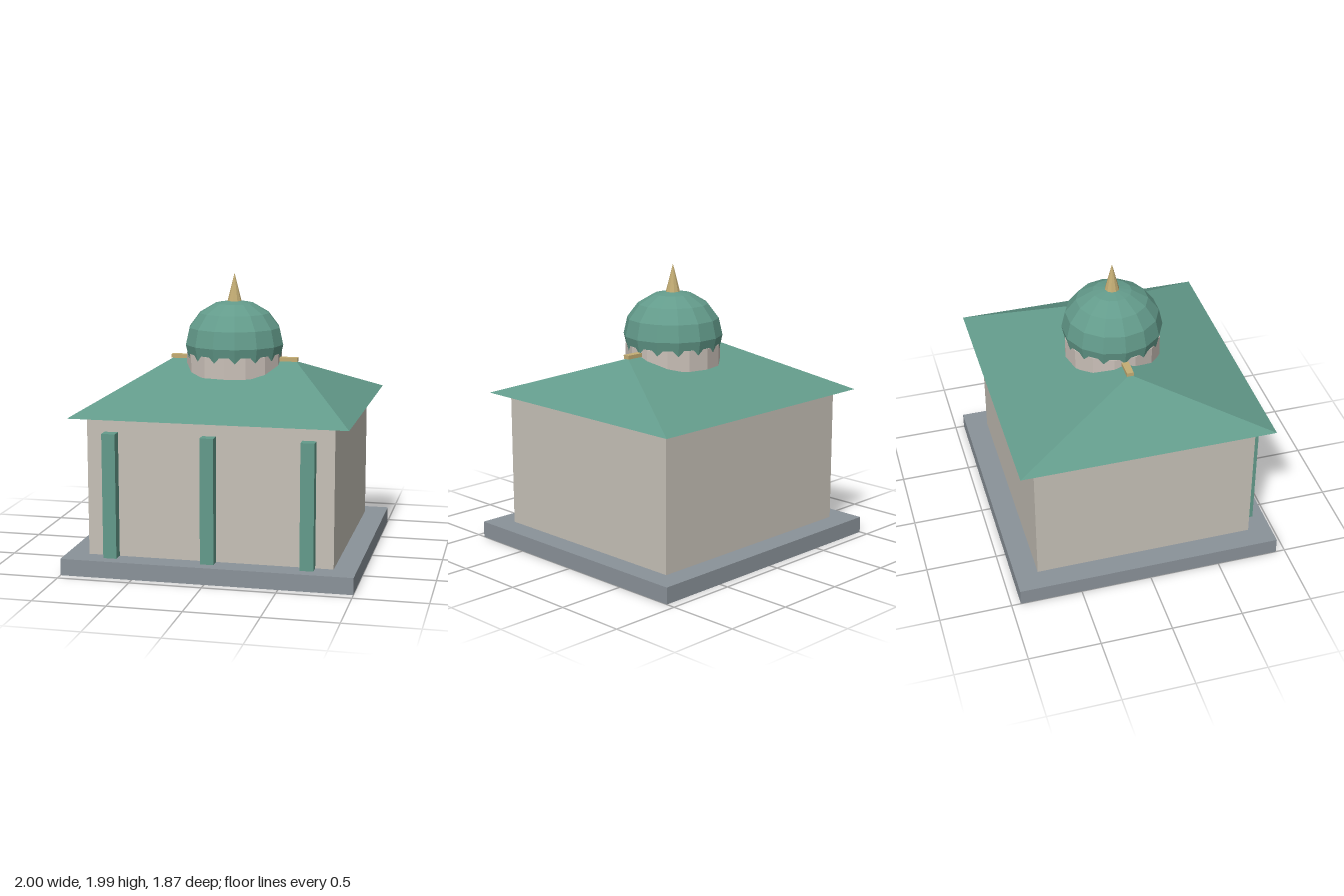
import * as THREE from 'three';

const mat = (name, color) => {
  const m = new THREE.MeshStandardMaterial({ color, flatShading: true });
  m.name = name;
  return m;
};

// Hipped roof: rectangular eaves rising to a ridge along x
function hipRoof(hx, hz, ridge, y0, y1) {
  const a = [-hx, y0, hz], b = [hx, y0, hz], c = [hx, y0, -hz], d = [-hx, y0, -hz];
  const l = [-ridge, y1, 0], r = [ridge, y1, 0];
  const faces = [a, b, r, a, r, l, c, d, l, c, l, r, b, c, r, d, a, l, a, d, c, a, c, b];
  const geo = new THREE.BufferGeometry();
  geo.setAttribute('position', new THREE.Float32BufferAttribute(faces.flat(), 3));
  geo.computeVertexNormals();
  return geo;
}

export function createModel() {
  const stone = mat('grey stone', 0x8a9299);
  const plaster = mat('pale plaster', 0xc6c1b7);
  const drumStone = mat('drum stone', 0xcac0b8);
  const green = mat('green copper', 0x639b8b);
  const gold = mat('gold', 0xc4ad74);

  const model = new THREE.Group();
  model.name = 'pavilion';
  const add = (name, geo, material, x, y, z) => {
    const mesh = new THREE.Mesh(geo, material);
    mesh.name = name;
    mesh.position.set(x, y, z);
    model.add(mesh);
    return mesh;
  };
  // Box given by its bottom height and top height
  const box = (name, material, w, d, y0, y1, x = 0, z = 0) =>
    add(name, new THREE.BoxGeometry(w, y1 - y0, d), material, x, (y0 + y1) / 2, z);

  // Plinth and hall
  box('plinth', stone, 2, 1.87, 0, 0.115);
  box('hall', plaster, 1.69, 1.55, 0.115, 1.075);

  // Front pillars
  for (const x of [-0.675, 0, 0.675]) box('pillar', green, 0.093, 0.085, 0.115, 0.975, x, 0.81);

  // Roof with ridge beam
  add('roof', hipRoof(0.95, 0.885, 0.44, 1.075, 1.378), green, 0, 0, 0);
  box('ridgeBeam', gold, 0.91, 0.048, 1.375, 1.402);

  // Drum, faceted dome and spire
  add('drum', new THREE.CylinderGeometry(0.336, 0.336, 0.147, 14), drumStone, 0, 1.3565, 0);
  const dome = new THREE.SphereGeometry(0.35, 14, 5, 0, Math.PI * 2, 0, Math.PI * 0.625);
  add('dome', dome, green, 0, 1.49, 0).scale.y = 0.31 / 0.35;
  add('spire', new THREE.ConeGeometry(0.05, 0.197, 10), gold, 0, 1.8885, 0);

  return model;
}
